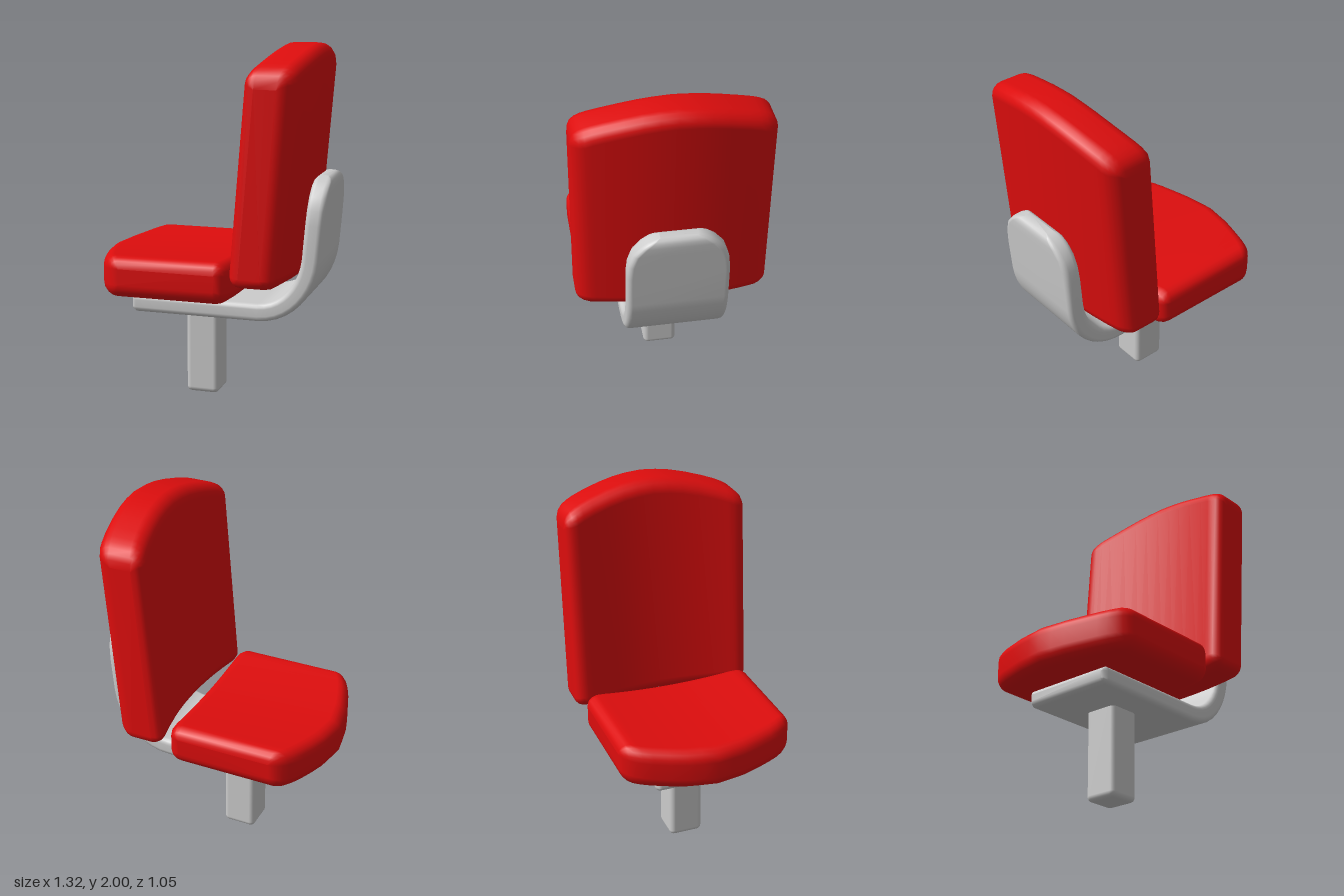
import * as THREE from 'three';
import { mergeVertices } from 'three/addons/utils/BufferGeometryUtils.js';
import { RoundedBoxGeometry } from 'three/addons/geometries/RoundedBoxGeometry.js';

const red = new THREE.MeshStandardMaterial({ color: 0xdd0d0d });
const grey = new THREE.MeshStandardMaterial({ color: 0xcccccc });

// Counter-clockwise rounded rectangle as [u, v] pairs
function roundedRect(halfU, halfV, r, steps = 4) {
  const points = [];
  for (let corner = 0; corner < 4; corner++) {
    const su = corner === 0 || corner === 3 ? 1 : -1;
    const sv = corner < 2 ? 1 : -1;
    for (let k = 0; k <= steps; k++) {
      const a = (corner + k / steps) * Math.PI / 2;
      points.push([su * (halfU - r) + r * Math.cos(a), sv * (halfV - r) + r * Math.sin(a)]);
    }
  }
  return points;
}

// Skin a series of equal-sized rings and close both ends
function loft(rings) {
  const n = rings[0].length;
  const last = (rings.length - 1) * n;
  const index = [];
  for (let i = 0; i < last; i += n) {
    for (let j = 0; j < n; j++) {
      const k = (j + 1) % n;
      index.push(i + j, i + k, i + n + k, i + j, i + n + k, i + n + j);
    }
  }
  for (let j = 1; j < n - 1; j++) index.push(0, j + 1, j, last, last + j, last + j + 1);
  const geometry = new THREE.BufferGeometry().setFromPoints(rings.flat());
  geometry.setIndex(index);
  const merged = mergeVertices(geometry, 1e-5);
  merged.computeVertexNormals();
  return merged;
}

// Padded cushion: outline rows are [z, low end, high end], mirrored across z = 0
function cushion(outline, thickness, r, place) {
  const width = outline[outline.length - 1][0];
  const mirrored = outline.slice(1).reverse().map(([z, lo, hi]) => [-z, lo, hi]);
  return loft([...mirrored, ...outline].map(([z, lo, hi]) => {
    const over = Math.max(0, Math.abs(z) - (width - r));
    const inset = r - Math.sqrt(Math.max(0, r * r - over * over));
    const section = roundedRect((hi - lo) / 2, thickness / 2 - inset, Math.max(r - inset, 0.001));
    return section.map(([u, v]) => place((lo + hi) / 2 + u, v, z));
  }));
}

// Bent plate that carries the seat and the backrest
function bracketGeometry() {
  const V = (x, y) => new THREE.Vector2(x, y);
  const stations = []; // point, half width, edge inset
  [[-0.45, 0.245, 0.03], [-0.442, 0.262, 0.013], [-0.42, 0.275, 0]]
    .forEach(([x, w, inset]) => stations.push({ p: V(x, 0.55), w, inset }));
  const bend = new THREE.CubicBezierCurve(V(0.28, 0.55), V(0.44, 0.55), V(0.555, 0.69), V(0.572, 0.86));
  bend.getPoints(10).forEach((p) => stations.push({ p, w: 0.275, inset: 0 }));
  [[1.05, 0.275, 0], [1.13, 0.267, 0], [1.2, 0.243, 0], [1.25, 0.2, 0],
    [1.275, 0.165, 0.004], [1.29, 0.135, 0.013], [1.3, 0.1, 0.03]]
    .forEach(([y, w, inset]) => stations.push({ p: V(0.572 + (y - 0.86) * 0.084, y), w, inset }));

  return loft(stations.map(({ p, w, inset }, i) => {
    const before = stations[Math.max(i - 1, 0)].p;
    const after = stations[Math.min(i + 1, stations.length - 1)].p;
    const t = after.clone().sub(before).normalize();
    return roundedRect(0.05 - inset, w, Math.max(0.03 - inset, 0.001))
      .map(([u, v]) => new THREE.Vector3(p.x - t.y * u, p.y + t.x * u, v));
  }));
}

export function createModel() {
  const model = new THREE.Group();
  const add = (name, geometry, material) => {
    const mesh = new THREE.Mesh(geometry, material);
    mesh.name = name;
    model.add(mesh);
    return mesh;
  };

  // Post
  add('post', new RoundedBoxGeometry(0.19, 0.55, 0.195, 3, 0.03), grey).position.set(-0.09, 0.275, 0);

  // Support bracket
  add('bracket', bracketGeometry(), grey);

  // Seat: bowed nose towards -x, sides slightly raised
  const seatOutline = [
    [0, -0.665, 0.17], [0.08, -0.653, 0.17], [0.16, -0.64, 0.17], [0.25, -0.613, 0.17], [0.34, -0.582, 0.17],
    [0.39, -0.56, 0.17], [0.43, -0.537, 0.165], [0.455, -0.515, 0.155],
    [0.475, -0.49, 0.14], [0.486, -0.465, 0.12], [0.49, -0.44, 0.1],
  ];
  add('seat', cushion(seatOutline, 0.23, 0.07,
    (x, y, z) => new THREE.Vector3(x, 0.72 + y + 0.03 * (z / 0.49) ** 2, z)), red);

  // Backrest: arched top, leaning back, sides curving forward
  const backOutline = [
    [0, 0.735, 2], [0.09, 0.735, 1.994], [0.17, 0.735, 1.983], [0.26, 0.735, 1.963], [0.36, 0.735, 1.935],
    [0.42, 0.735, 1.915], [0.455, 0.735, 1.9], [0.485, 0.742, 1.883],
    [0.508, 0.753, 1.86], [0.521, 0.77, 1.83], [0.526, 0.795, 1.79],
  ];
  add('backrest', cushion(backOutline, 0.27, 0.075,
    (y, across, z) => new THREE.Vector3(
      0.375 - across + 0.08 * (y - 0.8) - 0.07 * (z / 0.526) ** 2, y, z)), red);

  return model;
}
